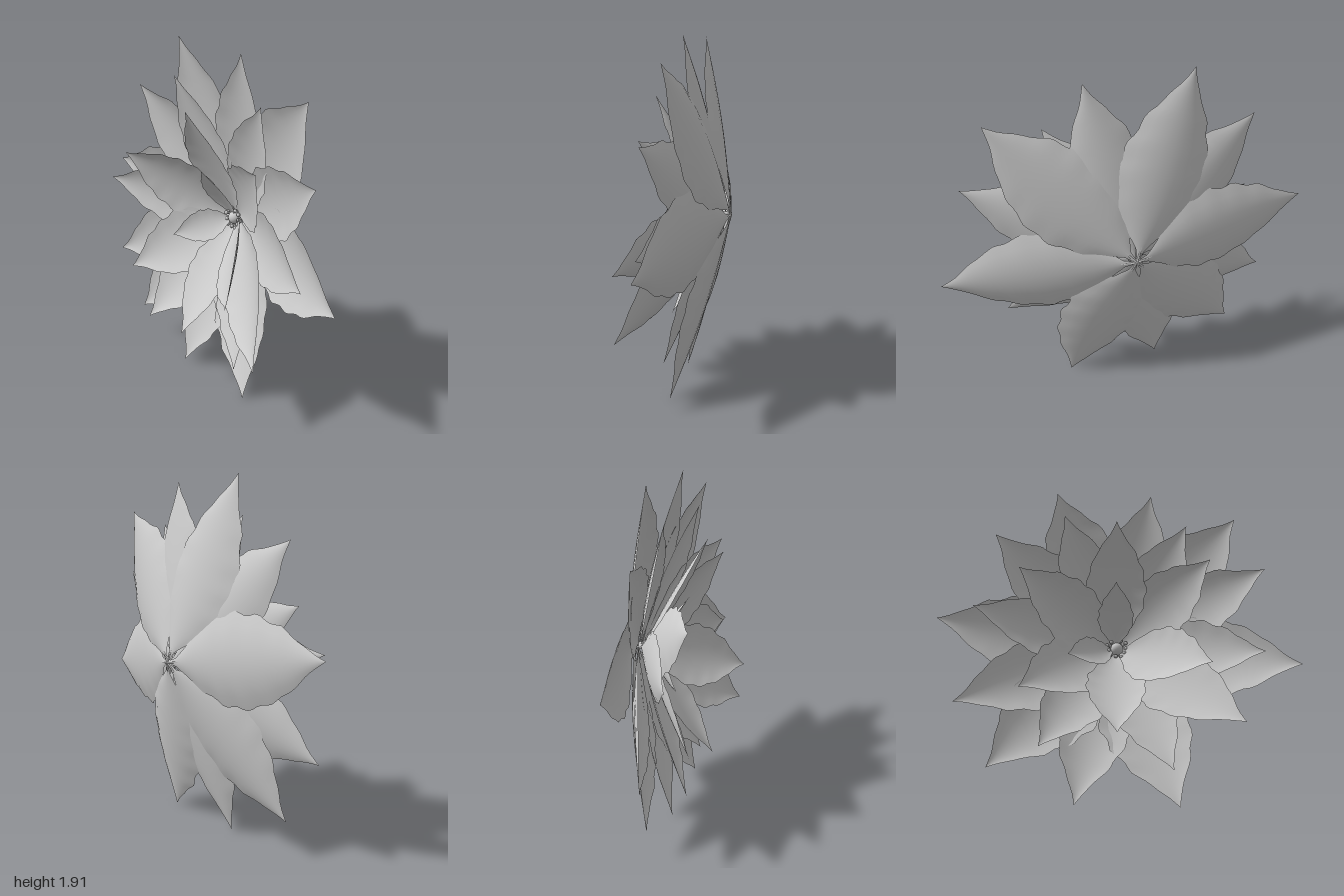
import * as THREE from 'three';

const CENTER_Y = 0.95;
const material = new THREE.MeshStandardMaterial({ color: 0xcccccc, side: THREE.DoubleSide });

// half-width of a petal along its length (t, share of full half-width)
const PROFILE = [[0, 0.03], [0.06, 0.08], [0.13, 0.32], [0.22, 0.63], [0.35, 0.92], [0.47, 1], [0.6, 0.92],
  [0.75, 0.67], [0.85, 0.38], [0.92, 0.17], [0.96, 0.08], [1, 0]];

function profile(t) {
  let i = 1;
  while (i < PROFILE.length - 1 && PROFILE[i][0] < t) i++;
  const [t0, w0] = PROFILE[i - 1], [t1, w1] = PROFILE[i];
  return w0 + (w1 - w0) * (t - t0) / (t1 - t0);
}

// each petal: tip x, y, z and half-width, per whorl from back to front
const WHORLS = [
  { name: 'backPetal', baseZ: -0.265, stalks: true, petals: [
    [-1, 1.09, -0.09, 0.24], [-0.35, 1.92, -0.07, 0.24], [0.7, 1.73, -0.03, 0.25],
    [1, 0.78, 0.04, 0.25], [0.32, 0.01, 0.01, 0.24], [-0.66, 0.21, 0.0, 0.24]] },
  { name: 'outerPetal', baseZ: -0.24, petals: [
    [0.21, 1.89, -0.04, 0.2], [-0.7, 1.61, -0.04, 0.21], [-0.21, 0.02, 0.01, 0.2], [-0.85, 0.55, 0.03, 0.21]] },
  { name: 'middlePetal', baseZ: -0.225, petals: [
    [-0.3, 1.72, 0.0, 0.17], [0.41, 1.66, 0.0, 0.17], [0.84, 1.36, 0.04, 0.2], [0.8, 0.84, 0.07, 0.19],
    [0.64, 0.39, 0.22, 0.2], [0.29, 0.19, 0.05, 0.17], [-0.39, 0.28, 0.14, 0.18], [-0.77, 1.06, 0.13, 0.17]] },
  { name: 'innerPetal', baseZ: -0.21, petals: [
    [0, 1.59, 0.15, 0.17], [0.52, 1.37, 0.12, 0.18], [0.48, 0.69, 0.27, 0.18], [0, 0.34, 0.19, 0.16],
    [-0.5, 0.58, 0.18, 0.18], [-0.53, 1.27, 0.18, 0.18]] },
  { name: 'heartPetal', baseZ: -0.19, petals: [[0, 1.26, 0.05, 0.1], [-0.26, 0.82, 0.05, 0.09]] },
];

// cupped leaf blade with rippled margins, swept from base to tip
function petalGeometry(base, tip, halfWidth, seed) {
  const rows = 32, cols = 8;
  const d = tip.clone().sub(base);
  const side = new THREE.Vector3().crossVectors(d, new THREE.Vector3(0, 0, 1)).normalize();
  const normal = new THREE.Vector3().crossVectors(side, d).normalize();
  const positions = [], index = [];
  for (let i = 0; i <= rows; i++) {
    const t = i / rows;
    for (let j = 0; j <= cols; j++) {
      const u = (j / cols) * 2 - 1;
      const ripple = 1 + 0.04 * Math.sin(t * 42 + seed * 1.7 + u) * Math.abs(u);
      const w = halfWidth * profile(t) * ripple;
      const lift = 0.22 * w * u * u - 0.02 * d.length() * Math.sin(Math.PI * t);
      const p = base.clone().addScaledVector(d, t).addScaledVector(side, u * w).addScaledVector(normal, lift);
      positions.push(p.x, p.y, p.z);
    }
  }
  for (let i = 0; i < rows; i++) {
    for (let j = 0; j < cols; j++) {
      const a = i * (cols + 1) + j, b = a + cols + 1;
      index.push(a, a + 1, b, a + 1, b + 1, b);
    }
  }
  const g = new THREE.BufferGeometry();
  g.setAttribute('position', new THREE.Float32BufferAttribute(positions, 3));
  g.setIndex(index);
  g.computeVertexNormals();
  return g;
}

function add(parent, name, geometry) {
  const mesh = new THREE.Mesh(geometry, material);
  mesh.name = name;
  parent.add(mesh);
  return mesh;
}

function tube(points, radius) {
  return new THREE.TubeGeometry(new THREE.CatmullRomCurve3(points), 8, radius, 6);
}

export function createModel() {
  const flower = new THREE.Group();
  flower.name = 'flower';
  let seed = 0;

  // whorls of petals; the rearmost ones show a short stalk
  for (const { name, baseZ, stalks, petals } of WHORLS) {
    const whorl = new THREE.Group();
    whorl.name = name + 's';
    flower.add(whorl);
    for (const [x, y, z, halfWidth] of petals) {
      const base = new THREE.Vector3(0, CENTER_Y, baseZ);
      const tip = new THREE.Vector3(x, y, z);
      add(whorl, name, petalGeometry(base, tip, halfWidth, seed++));
      if (stalks) add(whorl, 'petalStalk', tube([base, base.clone().lerp(tip, 0.09)], 0.006));
    }
  }

  // flower heart: dome with a ring of stamens
  const heart = new THREE.Group();
  heart.name = 'flowerHeart';
  heart.position.set(0.01, CENTER_Y, -0.18);
  flower.add(heart);
  add(heart, 'pistilDome', new THREE.SphereGeometry(0.036, 20, 14));
  const core = add(heart, 'receptacle', new THREE.CylinderGeometry(0.03, 0.014, 0.08, 12));
  core.rotation.x = Math.PI / 2;
  core.position.z = -0.04;
  const count = 11;
  for (let i = 0; i < count; i++) {
    const a = (i / count) * Math.PI * 2;
    const at = (r, z) => new THREE.Vector3(Math.cos(a) * r, Math.sin(a) * r, z);
    const reach = 0.05 + 0.008 * (i % 2);
    add(heart, 'filament', tube([at(0.015, -0.04), at(0.037, -0.015), at(reach, 0.012)], 0.005));
    add(heart, 'anther', new THREE.SphereGeometry(0.011, 10, 8)).position.copy(at(reach, 0.015));
  }
  return flower;
}
